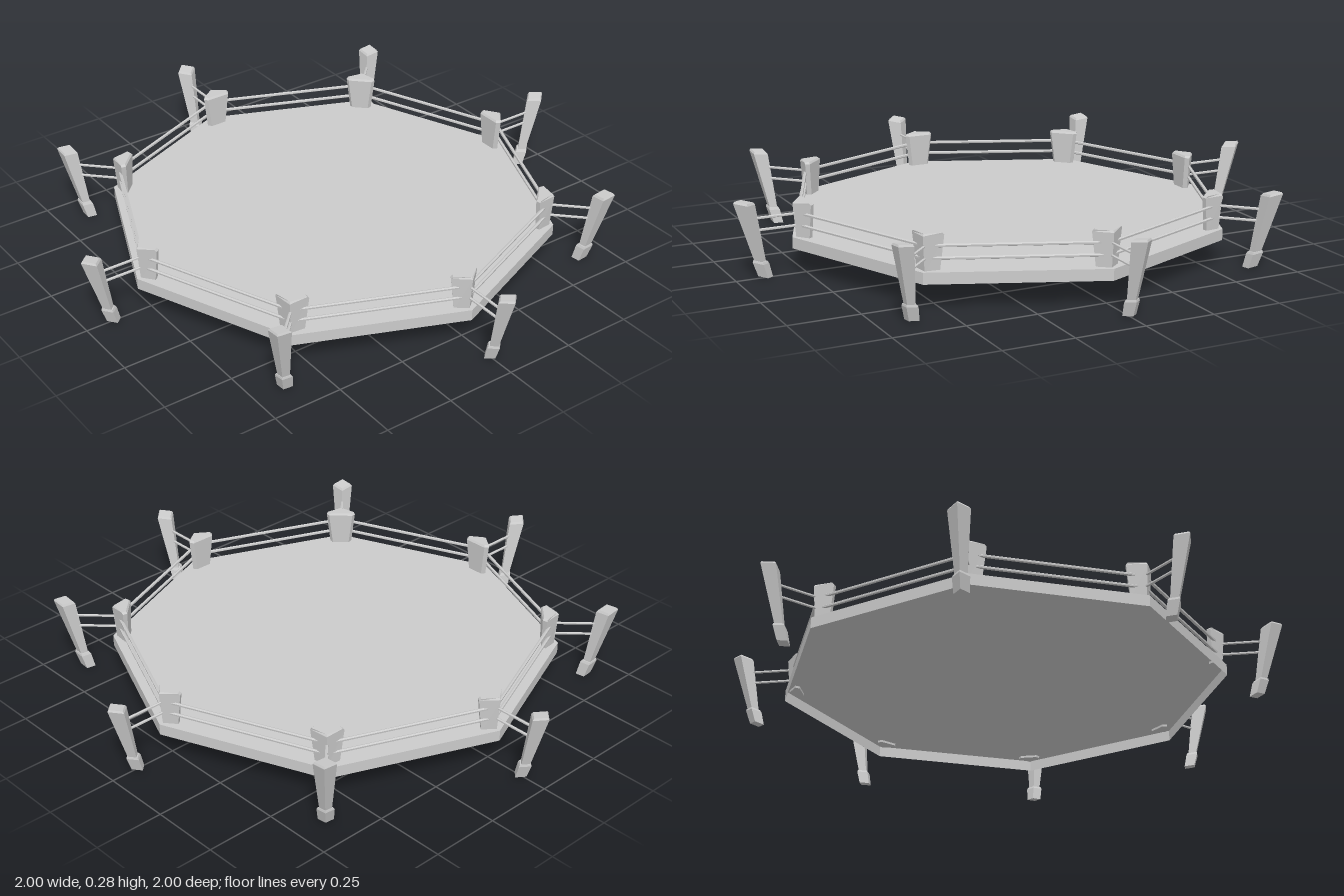
import * as THREE from 'three';

const SIDES = 8;
const RIM = 0.797;
const ROPE_HEIGHTS = [0.17, 0.212];
const grey = new THREE.MeshStandardMaterial({ color: 0xcccccc, flatShading: true, side: THREE.DoubleSide });

function add(parent, name, geometry) {
  const mesh = new THREE.Mesh(geometry, grey);
  mesh.name = name;
  parent.add(mesh);
  return mesh;
}

// Closed solid through equal-sized rings of points, listed bottom to top
function loft(rings) {
  const pos = [];
  const n = rings[0].length;
  const tri = (a, b, c) => pos.push(...a, ...b, ...c);
  for (let k = 0; k < rings.length - 1; k++) {
    for (let i = 0; i < n; i++) {
      const j = (i + 1) % n, lo = rings[k], hi = rings[k + 1];
      tri(lo[i], hi[j], lo[j]);
      tri(lo[i], hi[i], hi[j]);
    }
  }
  const bottom = rings[0], top = rings[rings.length - 1];
  for (let i = 1; i < n - 1; i++) {
    tri(bottom[0], bottom[i], bottom[i + 1]);
    tri(top[0], top[i + 1], top[i]);
  }
  const g = new THREE.BufferGeometry();
  g.setAttribute('position', new THREE.Float32BufferAttribute(pos, 3));
  g.computeVertexNormals();
  return g;
}

// Diamond ring centred at distance z, tilted slightly with the leaning post
const diamond = (y, z, r) => [[0, y + r * 0.15, z + r], [r, y, z], [0, y - r * 0.15, z - r], [-r, y, z]];

// Corner pad ring: apex towards the rim, broad face towards the middle
const wedge = (y, apex, half, inner) => [
  [0, y, apex], [half, y, inner + 0.014], [half - 0.01, y, inner],
  [-half + 0.01, y, inner], [-half, y, inner + 0.014],
];

function rope(parent, name, a, b, radius) {
  const dir = new THREE.Vector3().subVectors(b, a);
  const mesh = add(parent, name, new THREE.CylinderGeometry(radius, radius, dir.length(), 6));
  mesh.position.addVectors(a, b).multiplyScalar(0.5);
  mesh.quaternion.setFromUnitVectors(new THREE.Vector3(0, 1, 0), dir.normalize());
}

export function createModel() {
  const model = new THREE.Group();
  model.name = 'octagonalRing';

  // Floor and skirt, open underneath
  const floor = add(model, 'floor', new THREE.CircleGeometry(RIM, SIDES));
  floor.rotation.x = -Math.PI / 2;
  floor.position.y = 0.13;
  const skirt = add(model, 'skirt', new THREE.CylinderGeometry(RIM, RIM, 0.04, SIDES, 1, true));
  skirt.position.y = 0.11;

  // Shared shapes for every corner
  const padGeo = loft([
    wedge(0.122, 0.782, 0.04, 0.736),
    wedge(0.248, 0.793, 0.055, 0.733),
    wedge(0.255, 0.787, 0.05, 0.738),
  ]);
  const postGeo = loft([
    diamond(0.055, 0.912, 0.02),
    diamond(0.266, 0.962, 0.038),
    diamond(0.273, 0.963, 0.032),
  ]);
  const footGeo = loft([
    diamond(0.005, 0.896, 0.026),
    diamond(0.055, 0.911, 0.029),
    diamond(0.063, 0.913, 0.025),
  ]);

  const step = (Math.PI * 2) / SIDES;
  const ropeR = 0.772;
  for (let i = 0; i < SIDES; i++) {
    const corner = new THREE.Group();
    corner.name = 'corner';
    corner.rotation.y = i * step;
    model.add(corner);
    add(corner, 'cornerPad', padGeo);
    add(corner, 'outerPost', postGeo);
    add(corner, 'postFoot', footGeo);

    // Ropes along the side and out to the leaning post
    for (const y of ROPE_HEIGHTS) {
      const start = new THREE.Vector3(0, y, ropeR);
      const end = new THREE.Vector3(Math.sin(step) * ropeR, y, Math.cos(step) * ropeR);
      rope(corner, 'sideRope', start, end, 0.006);
      rope(corner, 'anchorRope', start, new THREE.Vector3(0, y, 0.94), 0.005);
    }
  }
  return model;
}
